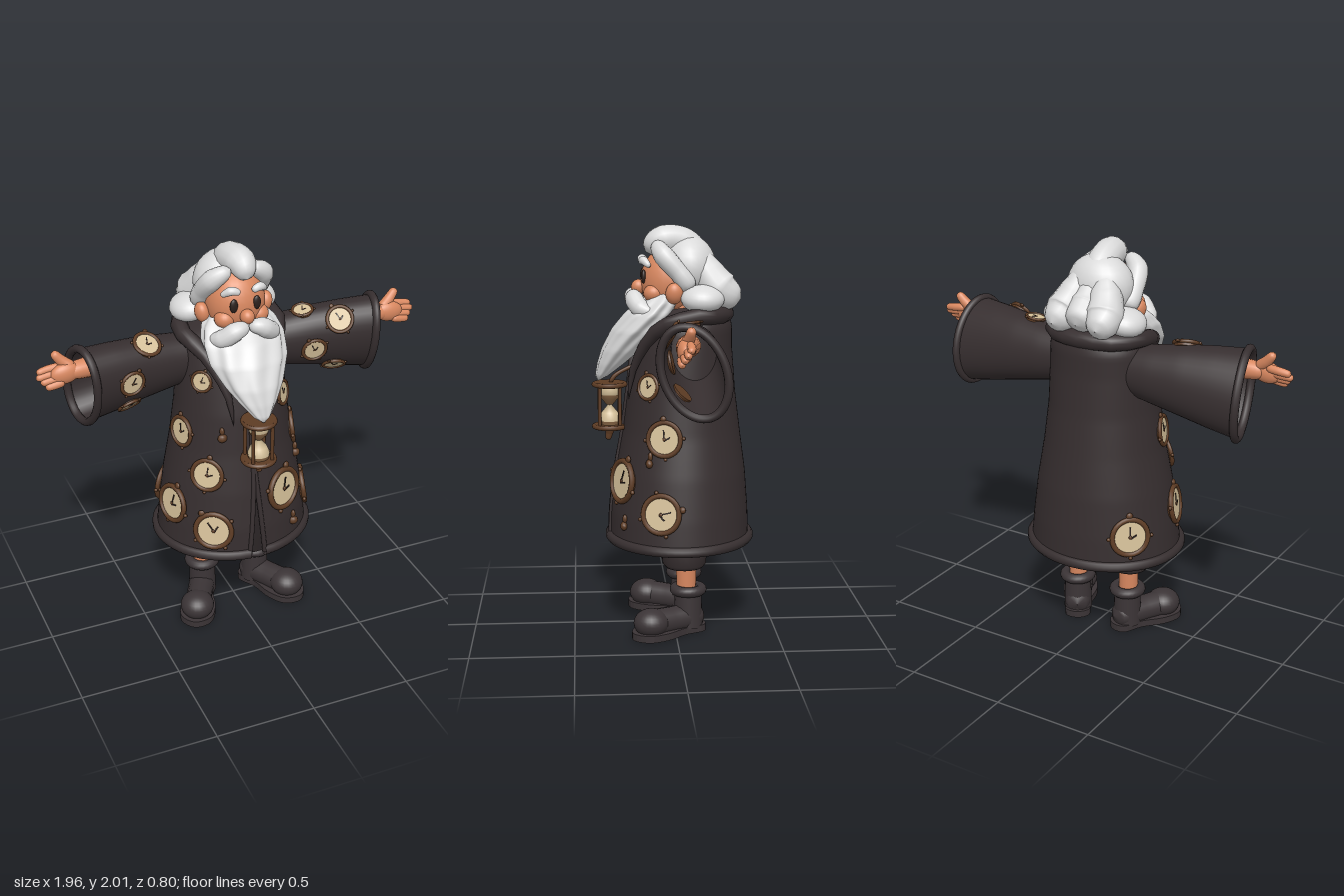
import * as THREE from 'three';

const V = (x, y, z) => new THREE.Vector3(x, y, z);
const mat = (name, color, side = THREE.FrontSide) => {
  const m = new THREE.MeshStandardMaterial({ color, side });
  m.name = name;
  return m;
};

// Linear lookup in a table whose first column is the key
function sample(rows, k) {
  let i = 0;
  while (i < rows.length - 2 && k > rows[i + 1][0]) i++;
  const t = THREE.MathUtils.clamp((k - rows[i][0]) / (rows[i + 1][0] - rows[i][0]), 0, 1);
  return rows[i].map((v, c) => v + (rows[i + 1][c] - v) * t);
}

// Surface through rows of points; fn(u, v) returns a Vector3
function loft(fn, rows, cols, closed = true) {
  const pos = [], idx = [], n = closed ? cols : cols + 1;
  for (let i = 0; i <= rows; i++)
    for (let j = 0; j < n; j++) pos.push(...fn(i / rows, j / cols).toArray());
  for (let i = 0; i < rows; i++)
    for (let j = 0; j < cols; j++) {
      const a = i * n + j, b = i * n + (j + 1) % n;
      idx.push(a, b, b + n, a, b + n, a + n);
    }
  const g = new THREE.BufferGeometry();
  g.setAttribute('position', new THREE.Float32BufferAttribute(pos, 3));
  g.setIndex(idx);
  g.computeVertexNormals();
  return g;
}

// Round-ended tapered tube along a curve
function limbGeo(points, radii) {
  const rows = 24, cols = 14;
  const curve = new THREE.CatmullRomCurve3(points.map(p => V(...p)));
  const f = curve.computeFrenetFrames(rows);
  const table = radii.map((r, i) => [i / (radii.length - 1), r]);
  return loft((u, v) => {
    const i = Math.round(u * rows), a = v * Math.PI * 2;
    const r = sample(table, u)[1] * Math.sqrt(Math.max(0.0004, 1 - Math.abs(2 * u - 1) ** 7));
    return curve.getPointAt(u).addScaledVector(f.normals[i], r * Math.cos(a)).addScaledVector(f.binormals[i], r * Math.sin(a));
  }, rows, cols);
}

// Robe rows: y, half width, centre z, half depth
const ROBE = [[.45, .388, -.03, .347], [.6, .372, -.03, .342], [.8, .343, -.035, .322], [1, .305, -.04, .29],
  [1.2, .28, -.04, .265], [1.4, .265, -.055, .235], [1.52, .252, -.075, .213], [1.58, .215, -.08, .19], [1.61, .13, -.08, .12], [1.62, .02, -.08, .02]];
const robePoint = (th, y, k = 1) => {
  const [, rx, zc, rz] = sample(ROBE, y);
  return V(rx * k * Math.sin(th), y, zc + rz * k * Math.cos(th));
};
const slit = y => Math.max(0, .9 - y) / .45 * .095;

// Sleeve rows: x, centre y, centre z, half height, half depth
const SLEEVE = [[.12, 1.42, -.09, .11, .1], [.3, 1.415, -.085, .14, .115], [.45, 1.41, -.075, .165, .125], [.6, 1.4, -.06, .188, .135], [.75, 1.39, -.045, .205, .145]];
const sleevePoint = (s, x, ph) => {
  const [, yc, zc, ry, rz] = sample(SLEEVE, x);
  const dy = ry * Math.cos(ph), dz = rz * Math.sin(ph), k = x / .75;
  return V(s * (x - .22 * dz * k), yc + dy, zc + dz + .2 * dy * k);
};

export function createModel() {
  const root = new THREE.Group();
  const cloth = mat('robe cloth', 0x362e2f, THREE.DoubleSide);
  const lining = mat('dark lining', 0x2a2425, THREE.DoubleSide);
  const leather = mat('boot leather', 0x3b3436);
  const skin = mat('skin', 0xd98860);
  const hair = mat('white hair', 0xdadada);
  const wood = mat('clock frame brown', 0x5e3c24);
  const cream = mat('dial cream', 0xd6c19a, THREE.DoubleSide);
  const ink = mat('dark detail', 0x2b201c);
  const sand = mat('sand', 0x8d6a48, THREE.DoubleSide);

  const add = (name, geo, m, p = [0, 0, 0], parent = root) => {
    const o = new THREE.Mesh(geo, m);
    o.name = name;
    o.position.set(...p);
    parent.add(o);
    return o;
  };
  const ball = new THREE.SphereGeometry(1, 24, 16);
  const bead = new THREE.SphereGeometry(1, 10, 8);
  const blob = (name, m, p, r, rz = 0) => {
    const o = add(name, ball, m, p);
    o.scale.set(...r);
    o.rotation.z = rz;
    return o;
  };
  const knob = (name, p, r, parent = root) => add(name, bead, wood, p, parent).scale.set(...r);
  const limb = (name, m, pts, radii, parent = root) => add(name, limbGeo(pts, radii), m, [0, 0, 0], parent);
  const tube = (name, m, pts, r, closed = false) =>
    add(name, new THREE.TubeGeometry(new THREE.CatmullRomCurve3(pts, closed), 72, r, 10, closed), m);
  const steps = (n, fn) => Array.from({ length: n }, (_, i) => fn(i / (n - 1)));

  // Robe with front slit, hem roll and lining
  const around = (y, v) => slit(y) + v * 2 * (Math.PI - slit(y));
  add('robe', loft((u, v) => { const y = .45 + u * 1.17; return robePoint(around(y, v), y); }, 52, 64, false), cloth);
  add('robeLining', loft((u, v) => robePoint(v * 2 * Math.PI, .45 + u * .6, .93), 8, 48), lining);
  tube('hem', cloth, steps(40, t => robePoint(around(.465, t), .465)), .025);
  for (const s of [-1, 1]) tube('frontEdge', cloth, steps(10, t => { const y = .46 + t * .84; return robePoint(s * (slit(y) + .012), y); }), .012);
  limb('collar', cloth, [[-.09, 1.16, .225], [-.11, 1.32, .2], [-.18, 1.5, .1], [-.245, 1.575, -.06], [-.17, 1.58, -.21], [0, 1.58, -.255],
    [.17, 1.58, -.21], [.245, 1.575, -.06], [.18, 1.5, .1], [.11, 1.32, .2], [.09, 1.16, .225]], [.012, .025, .04, .042, .042, .042, .04, .025, .012]);

  // Clocks: a frame, dial, two hands and knobs, facing +z of their group
  const frameGeo = new THREE.TorusGeometry(.9, .13, 8, 28);
  const backGeo = new THREE.CylinderGeometry(.9, .9, .3, 28).rotateX(Math.PI / 2);
  const dialGeo = new THREE.CircleGeometry(.82, 28);
  const minuteGeo = new THREE.BoxGeometry(.07, .55, .03);
  const hourGeo = new THREE.BoxGeometry(.38, .08, .03);
  const clock = (p, n, r, roll) => {
    const g = new THREE.Group();
    g.name = 'clock';
    g.position.copy(p);
    g.lookAt(p.clone().add(n));
    g.rotateZ(roll);
    g.scale.setScalar(r);
    root.add(g);
    add('clockFrame', frameGeo, wood, [0, 0, .06], g);
    add('clockBack', backGeo, wood, [0, 0, -.08], g);
    add('clockDial', dialGeo, cream, [0, 0, .085], g);
    add('minuteHand', minuteGeo, ink, [0, .24, .11], g);
    add('hourHand', hourGeo, ink, [.16, 0, .11], g).rotation.z = .5;
    knob('clockPin', [0, 0, .11], [.09, .09, .05], g);
    for (let k = 0; k < 4; k++) {
      const a = k * Math.PI / 2, q = k ? .1 : .17;
      knob('clockKnob', [1.08 * Math.sin(a), 1.08 * Math.cos(a), .05], [q, q, .1], g);
    }
  };
  const onSurface = (fn, a, b, centre, r, roll) => {
    const p = fn(a, b), e = .01;
    const n = fn(a + e, b).sub(p).cross(fn(a, b + e).sub(p)).normalize();
    if (n.dot(p.clone().sub(centre)) < 0) n.negate();
    clock(p, n, r, roll);
  };
  // angle around robe, height, radius, roll
  for (const [th, y, r, roll] of [[-.73, .9, .085, -.1], [-.6, .61, .1, .6], [.475, .77, .11, -.3], [.83, 1.24, .065, .3], [-.87, 1.37, .055, -.3],
    [1.22, 1, .09, .1], [1.24, .645, .1, -1.3], [-1.3, 1.08, .08, .2], [-1.3, .69, .1, -.2], [-2.3, .62, .1, 0]])
    onSurface(robePoint, th, y, V(0, y, -.04), r, roll);
  // side, distance along sleeve, angle, radius
  for (const [s, x, ph, r] of [[1, .56, .78, .07], [1, .43, 1.7, .065], [1, .56, 2.45, .06], [1, .39, .1, .055],
    [-1, .44, .4, .07], [-1, .56, 1.5, .065], [-1, .55, 2.45, .06]])
    onSurface((a, b) => sleevePoint(s, a, b), x, ph, V(s * x, 1.41, -.07), r, s * .5);
  // Small hanging charms
  for (const [th, y] of [[.62, .56], [-.5, 1.1], [1, .88]]) {
    const p = robePoint(th, y, 1.02);
    knob('charm', [p.x, p.y, p.z], [.025, .022, .018]);
    knob('charmTop', [p.x, p.y + .035, p.z - .005], [.012, .022, .012]);
  }

  const soleShape = new THREE.Shape();
  soleShape.setFromPoints(new THREE.CatmullRomCurve3([[0, -.09], [.06, -.06], [.062, .05], [.09, .17], [.075, .27], [0, .315],
    [-.075, .27], [-.09, .17], [-.062, .05], [-.06, -.06]].map(([x, y]) => V(x, y, 0)), true).getPoints(40).map(p => new THREE.Vector2(p.x, p.y)));
  const soleGeo = new THREE.ExtrudeGeometry(soleShape, { depth: .035, bevelEnabled: false }).rotateX(Math.PI / 2).translate(0, .035, 0);
  const lathe = pts => new THREE.LatheGeometry(pts.map(p => new THREE.Vector2(...p)), 28);

  for (const s of [-1, 1]) {
    // Sleeves and cuffs
    add('sleeve', loft((u, v) => sleevePoint(s, .12 + u * .63, v * s * 2 * Math.PI), 24, 36), cloth);
    tube('cuff', cloth, steps(25, t => sleevePoint(s, .75, t * 2 * Math.PI)).slice(0, 24), .02, true);

    // Arm and hand
    limb('arm', skin, [[s * .35, 1.46, -.06], [s * .7, 1.5, -.015], [s * .85, 1.5, 0]], [.055, .052, .045]);
    blob('palm', skin, [s * .84, 1.5, .003], [.075, .052, .036], -s * .15);
    for (let k = 0; k < 4; k++)
      limb('finger', skin, [[s * .85, 1.53 - k * .021, -.018 + k * .013], [s * (.92 - k * .005), 1.523 - k * .022, -.02 + k * .014],
        [s * (.983 - Math.abs(k - .7) * .018), 1.515 - k * .021, -.014 + k * .012]], [.02, .02, .017]);
    limb('thumb', skin, [[s * .8, 1.52, 0], [s * .845, 1.555, -.015], [s * .888, 1.605, -.025]], [.03, .026, .02]);

    // Trouser leg, shin and boot
    add('trouserLeg', lathe([[.045, .345], [.09, .33], [.108, .35], [.115, .42], [.1, .55], [.1, .72]]), cloth, [s * .15, 0, -.045]);
    add('shin', new THREE.CylinderGeometry(.052, .046, .24, 20), skin, [s * .15, .27, -.055]);
    const boot = new THREE.Group();
    boot.name = 'boot';
    boot.position.set(s * .15, 0, -.065);
    boot.rotation.y = s * .5;
    root.add(boot);
    add('bootShaft', new THREE.CylinderGeometry(.066, .072, .18, 24), leather, [0, .115, 0], boot);
    add('bootCuff', new THREE.TorusGeometry(.066, .026, 12, 28).rotateX(Math.PI / 2), leather, [0, .213, 0], boot);
    limb('bootFoot', leather, [[0, .07, -.08], [0, .07, .08], [0, .07, .27]], [.07, .066, .07], boot);
    add('bootToe', ball, leather, [0, .075, .215], boot).scale.set(.086, .07, .088);
    add('sole', soleGeo, leather, [0, 0, 0], boot);

    // Face features
    blob('ear', skin, [s * .16, 1.685, .005], [.036, .052, .042], -s * .2);
    blob('eye', ink, [s * .058, 1.758, .147], [.02, .034, .012]);
    limb('eyebrow', hair, [[s * .03, 1.825, .157], [s * .07, 1.838, .15], [s * .112, 1.81, .12]], [.016, .021, .013]);
    limb('moustache', hair, [[0, 1.662, .185], [s * .06, 1.655, .195], [s * .12, 1.61, .165], [s * .17, 1.59, .1]], [.03, .046, .045, .022]);
    blob('cheek', skin, [s * .085, 1.68, .1], [.05, .045, .05]);

    // Hair locks
    limb('sideHair', hair, [[s * .05, 1.92, .09], [s * .125, 1.865, .055], [s * .15, 1.78, -.02], [s * .15, 1.7, -.08]], [.035, .05, .045, .05]);
    limb('backHair', hair, [[s * .05, 1.88, -.12], [s * .08, 1.78, -.16], [s * .11, 1.69, -.23], [s * .12, 1.655, -.32]], [.05, .08, .095, .06]);
    blob('hairCurl', hair, [s * .175, 1.66, -.13], [.095, .066, .105], -s * .2);
  }

  // Head
  blob('face', skin, [0, 1.73, .02], [.145, .17, .14]);
  add('neck', new THREE.CylinderGeometry(.09, .1, .14, 24), skin, [0, 1.6, -.03]);
  blob('nose', skin, [0, 1.705, .17], [.034, .036, .036]);
  blob('crownHair', hair, [0, 1.8, -.075], [.168, .155, .135]);
  limb('quiff', hair, [[.015, 1.875, .135], [.015, 1.925, .07], [0, 1.925, -.03], [0, 1.86, -.13]], [.045, .074, .074, .07]);
  limb('napeHair', hair, [[0, 1.84, -.13], [0, 1.73, -.19], [0, 1.66, -.3]], [.06, .09, .07]);

  // Beard rows: y, centre z, half width, half depth
  const BEARD = [[1.245, .37, .004, .004], [1.27, .352, .04, .032], [1.33, .308, .088, .065], [1.4, .255, .138, .095], [1.5, .18, .19, .118],
    [1.58, .115, .202, .12], [1.64, .065, .18, .1], [1.68, .04, .14, .07]];
  add('beard', loft((u, v) => {
    const y = 1.245 + u * .435, a = v * 2 * Math.PI, [, zc, rx, rz] = sample(BEARD, y);
    const k = 1 + .04 * Math.cos(9 * a + 1.5 * Math.sin(u * 5));
    return V(rx * k * Math.sin(a), y, zc + rz * k * Math.cos(a));
  }, 36, 90), hair);

  // Hourglass hanging below the beard
  const glass = new THREE.Group();
  glass.name = 'hourglass';
  glass.position.set(0, 1.12, .315);
  root.add(glass);
  for (const s of [-1, 1]) {
    add('hourglassPlate', new THREE.CylinderGeometry(.08, .08, .022, 28), wood, [0, s * .105, 0], glass);
    add('hourglassRim', new THREE.TorusGeometry(.077, .012, 8, 28).rotateX(Math.PI / 2), wood, [0, s * .105, 0], glass);
  }
  for (let k = 0; k < 4; k++) {
    const a = (k + .5) * Math.PI / 2;
    add('hourglassPost', new THREE.CylinderGeometry(.009, .009, .2, 10), wood, [.07 * Math.sin(a), 0, .07 * Math.cos(a)], glass);
  }
  add('glassBulbs', lathe([[.048, -.095], [.054, -.07], [.04, -.035], [.012, 0], [.04, .035], [.054, .07], [.048, .095]]), cream, [0, 0, 0], glass);
  add('upperSand', lathe([[.016, .004], [.042, .035], [.049, .055]]), sand, [0, 0, 0], glass);
  add('lowerSand', lathe([[.05, -.094], [.056, -.075]]), sand, [0, 0, 0], glass);
  limb('finial', wood, [[0, -.11, 0], [0, -.135, .002], [0, -.175, .01]], [.028, .018, .014], glass);
  limb('hourglassCord', wood, [[0, .11, 0], [0, .15, -.03], [0, .2, -.12]], [.012, .01, .01], glass);

  return root;
}
